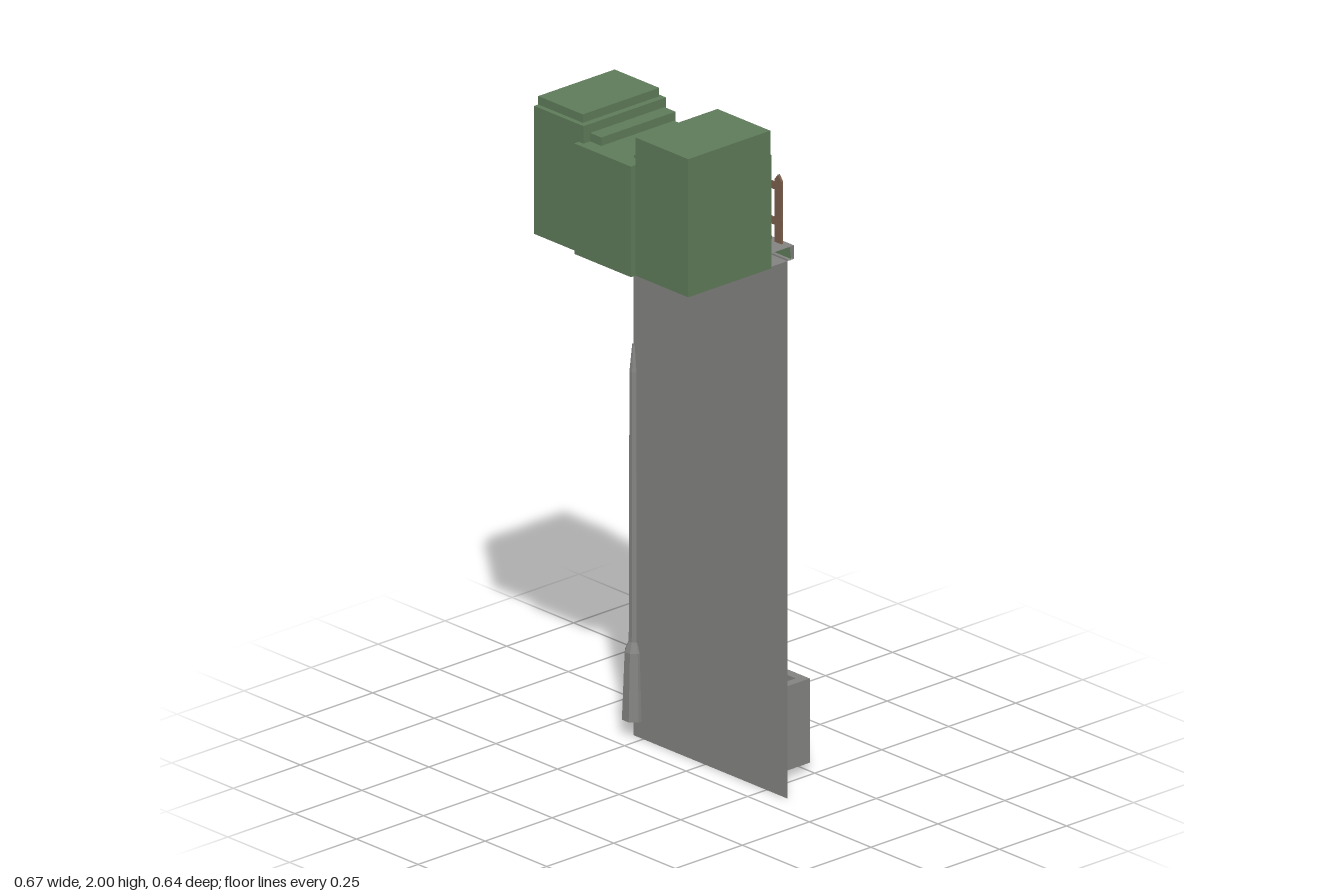
import * as THREE from 'three';
import { mergeGeometries } from 'three/addons/utils/BufferGeometryUtils.js';

const flat = (name, color) => {
  const m = new THREE.MeshStandardMaterial({ color, side: THREE.DoubleSide });
  m.name = name;
  return m;
};

export function createModel() {
  const stone = flat('grey stone', 0x848482);
  const leaf = flat('leaf green', 0x5f7c5a);
  const wood = flat('dark wood', 0x6b5847);
  const fenceWood = flat('fence wood', 0x7c604e);
  const root = new THREE.Group();
  root.name = 'wallFountain';

  const add = (name, geo, mat, parent = root) => {
    const mesh = new THREE.Mesh(geo, mat);
    mesh.name = name;
    parent.add(mesh);
    return mesh;
  };
  const group = (name) => {
    const g = new THREE.Group();
    g.name = name;
    root.add(g);
    return g;
  };
  // box given by its limits on each axis
  const box = (x0, x1, y0, y1, z0, z1) =>
    new THREE.BoxGeometry(x1 - x0, y1 - y0, z1 - z0)
      .translate((x0 + x1) / 2, (y0 + y1) / 2, (z0 + z1) / 2);
  // box with some sides left out (order: +x -x +y -y +z -z)
  const openBox = (limits, skip) => {
    const g = box(...limits);
    const index = Array.from(g.index.array);
    g.setIndex(index.filter((_, i) => !skip.includes(Math.floor(i / 6))));
    g.clearGroups();
    return g;
  };
  // square bar between two points
  const bar = (a, b, r) => {
    const p = new THREE.Vector3(...a), q = new THREE.Vector3(...b);
    const d = q.clone().sub(p);
    const g = new THREE.BoxGeometry(r * 2, d.length(), r * 2);
    g.applyQuaternion(new THREE.Quaternion().setFromUnitVectors(new THREE.Vector3(0, 1, 0), d.normalize()));
    return g.translate(...p.add(q).multiplyScalar(0.5).toArray());
  };

  // Thin wall and the ledge on top, open at its ends
  const wallZ = -0.07;
  add('wall', new THREE.PlaneGeometry(0.625, 1.6).rotateY(Math.PI).translate(0.0225, 0.8, wallZ), stone);
  add('ledge', openBox([-0.29, 0.335, 1.595, 1.635, -0.095, 0.003], [0, 1]), stone);

  // Pillar with a sloping top
  const side = new THREE.Shape([[0.07, 0], [0.145, 0], [0.145, 1.11], [0.08, 1.2], [0.07, 1.19]]
    .map(p => new THREE.Vector2(...p)));
  add('pillar', new THREE.ExtrudeGeometry(side, { depth: 0.13, bevelEnabled: false })
    .rotateY(Math.PI / 2).translate(-0.29, 0, 0), stone);

  // Hollow eight-sided corner post with a wide foot
  const post = new THREE.LatheGeometry([[0.036, 0.05], [0.028, 0.25], [0.016, 0.28], [0.014, 1.08], [0.006, 1.16]]
    .map(p => new THREE.Vector2(...p)), 8, Math.PI / 8).toNonIndexed();
  post.computeVertexNormals();
  add('cornerPost', post.translate(-0.29, 0, -0.073), stone);

  // Hedge blocks, open underneath
  const hedge = group('hedge');
  [
    [-0.29, -0.09, 1.59, 1.97, -0.008, 0.3],
    [-0.29, -0.109, 1.59, 1.995, 0, 0.285],
    [-0.1, -0.045, 1.59, 1.943, -0.002, 0.275],
    [-0.109, 0.121, 1.59, 1.918, 0.004, 0.317],
    [0.077, 0.334, 1.59, 1.926, -0.012, 0.266],
    [0.121, 0.335, 1.59, 2, -0.006, 0.3],
  ].forEach((b, i) => add('hedgeBlock' + (i + 1), openBox(b, [3]), leaf, hedge));

  // Picket fence
  const fence = group('fence');
  const picketShape = h => new THREE.Shape([[-0.014, 0], [0.014, 0], [0.014, h - 0.018], [0, h], [-0.014, h - 0.018]]
    .map(p => new THREE.Vector2(...p)));
  for (let i = 0; i < 14; i++) {
    const h = 0.215 + 0.012 * Math.sin(i * 2.3);
    const g = new THREE.ExtrudeGeometry(picketShape(h), { depth: 0.007, bevelEnabled: false });
    g.rotateZ(0.03 * Math.sin(i * 1.7)).translate(-0.273 + i * 0.0455, 1.65, -0.056);
    add('picket', g, fenceWood, fence);
  }
  [1.7, 1.805].forEach(y => add('rail', box(-0.29, 0.335, y, y + 0.022, -0.054, -0.049), fenceWood, fence));
  [-0.272, 0.04].forEach(x => add('fencePost', box(x - 0.0125, x + 0.0125, 1.635, 1.85, -0.049, -0.024), fenceWood, fence));

  // Ivy: small skewed cards hanging in ragged strands
  let seed = 11;
  const rand = () => (seed = (seed * 16807) % 2147483647) / 2147483647;
  const hem = [[-0.17, 1.4], [-0.12, 1.28], [-0.075, 1.0], [-0.03, 1.08], [0.03, 1.22], [0.09, 1.14],
    [0.16, 1.2], [0.21, 1.12], [0.26, 1.36], [0.31, 1.5]];
  const hemAt = x => {
    const i = Math.max(1, hem.findIndex(p => p[0] >= x));
    const [a, b] = [hem[i - 1], hem[i]];
    return a[1] + (b[1] - a[1]) * (x - a[0]) / (b[0] - a[0]);
  };
  const cards = [];
  for (let row = 0; row < 14; row++) {
    for (let col = 0; col < 8; col++) {
      const x = -0.145 + col * 0.06 + (rand() - 0.5) * 0.05;
      const y = 1.605 - row * 0.044 + (rand() - 0.5) * 0.03;
      const keep = rand() < 0.8;
      const w = 0.055 + rand() * 0.035, h = 0.036 + rand() * 0.02;
      const turn = (rand() - 0.5) * 0.35, lift = rand() * 0.006;
      if (!keep || x < -0.165 || x > 0.3 || y - h / 2 < hemAt(x)) continue;
      cards.push(new THREE.PlaneGeometry(w, h).rotateY(Math.PI).rotateZ(turn).translate(x, y, -0.083 - lift));
    }
  }
  add('ivy', mergeGeometries(cards), leaf);

  // Arched niche: frame, wooden panel, band, plate and spout
  const niche = group('niche');
  const cx = 0.037, spring = 0.45;
  const archPath = (T, r, y0) => {
    const s = new T();
    s.moveTo(cx - r, y0);
    s.lineTo(cx + r, y0);
    s.lineTo(cx + r, spring);
    s.absarc(cx, spring, r, 0, Math.PI, false);
    s.lineTo(cx - r, y0);
    return s;
  };
  const frame = archPath(THREE.Shape, 0.2, 0.05);
  frame.holes.push(archPath(THREE.Path, 0.15, 0.1));
  add('archFrame', new THREE.ExtrudeGeometry(frame, { depth: 0.037, bevelEnabled: false, curveSegments: 10 })
    .translate(0, 0, -0.107), stone, niche);
  add('archPanel', new THREE.ShapeGeometry(archPath(THREE.Shape, 0.155, 0.08), 10)
    .translate(0, 0, wallZ - 0.004), wood, niche);
  add('band', box(cx - 0.15, cx + 0.15, 0.355, 0.378, -0.088, wallZ), stone, niche);
  add('spoutPlate', box(cx - 0.052, cx + 0.052, 0.2, 0.475, -0.1, wallZ), stone, niche);
  add('spout', bar([0.034, 0.413, -0.095], [0.034, 0.396, -0.178], 0.006), stone, niche);

  // Trough with a rim around a shallow floor, on a plinth
  const trough = group('trough');
  add('troughBase', box(-0.163, 0.23, 0.025, 0.24, -0.25, wallZ), stone, trough);
  add('rimBack', box(-0.163, 0.23, 0.24, 0.275, -0.25, -0.222), stone, trough);
  add('rimRight', box(-0.163, -0.137, 0.24, 0.275, -0.222, wallZ), stone, trough);
  add('rimLeft', box(0.203, 0.23, 0.24, 0.275, -0.222, wallZ), stone, trough);
  add('plinth', box(-0.175, 0.24, 0.005, 0.15, -0.156, wallZ), stone, trough);

  // Lantern on a bracket
  const lantern = group('lantern');
  const lx = -0.289, lz = -0.272, q = Math.SQRT2;
  const square = (top, bottom, h, y, open) =>
    new THREE.CylinderGeometry(top * q, bottom * q, h, 4, 1, open).toNonIndexed()
      .rotateY(Math.PI / 4).translate(lx, y, lz);
  const faceted = g => { g.computeVertexNormals(); return g; };
  add('bracketArm', bar([lx, 1.097, -0.13], [lx, 1.106, -0.293], 0.005), stone, lantern);
  const brace = new THREE.CatmullRomCurve3([[1.0, -0.14], [1.03, -0.163], [1.08, -0.178], [1.088, -0.225]]
    .map(([y, z]) => new THREE.Vector3(lx, y, z)));
  add('bracketBrace', new THREE.TubeGeometry(brace, 8, 0.005, 4), stone, lantern);
  add('hanger', bar([lx, 1.075, lz], [lx, 1.105, lz], 0.004), stone, lantern);
  add('lanternCap', faceted(square(0.004, 0.047, 0.03, 1.07, false)), stone, lantern);
  add('lanternGlass', faceted(square(0.038, 0.024, 0.085, 1.0125, false)), wood, lantern);
  for (const sx of [-1, 1]) for (const sz of [-1, 1]) {
    add('lanternEdge', bar([lx + sx * 0.038, 1.055, lz + sz * 0.038], [lx + sx * 0.024, 0.97, lz + sz * 0.024], 0.003), stone, lantern);
  }
  add('lanternFoot', box(lx - 0.008, lx + 0.008, 0.953, 0.97, lz - 0.008, lz + 0.008), wood, lantern);
  return root;
}
